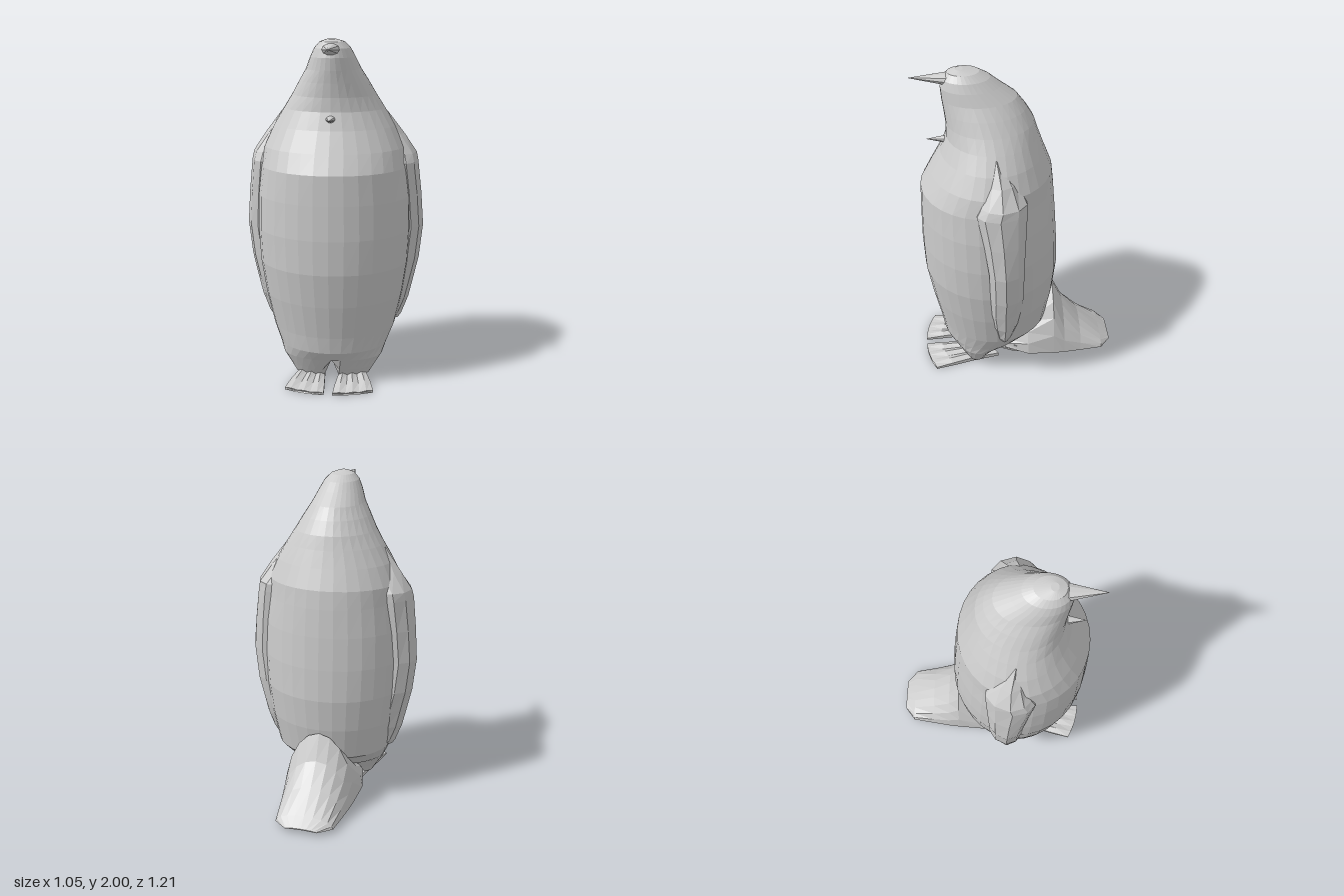
import * as THREE from 'three';

const grey = new THREE.MeshStandardMaterial({ color: 0xcccccc, flatShading: true, side: THREE.DoubleSide });
const V = (x, y, z) => new THREE.Vector3(x, y, z);

// Skin a list of equal-length closed rings, which run counter-clockwise about the direction of travel
function loft(name, rings, caps = true) {
  const n = rings[0].length, pos = [], idx = [];
  rings.forEach(r => r.forEach(p => pos.push(p.x, p.y, p.z)));
  for (let r = 0; r < rings.length - 1; r++) {
    for (let i = 0; i < n; i++) {
      const j = (i + 1) % n, a = r * n + i, b = r * n + j;
      idx.push(a, b, b + n, a, b + n, a + n);
    }
  }
  if (caps) [0, rings.length - 1].forEach((r, end) => {
    const c = V(0, 0, 0);
    rings[r].forEach(p => c.addScaledVector(p, 1 / n));
    const k = pos.length / 3;
    pos.push(c.x, c.y, c.z);
    for (let i = 0; i < n; i++) {
      const a = r * n + i, b = r * n + (i + 1) % n;
      if (end) idx.push(a, b, k); else idx.push(b, a, k);
    }
  });
  const g = new THREE.BufferGeometry();
  g.setAttribute('position', new THREE.Float32BufferAttribute(pos, 3));
  g.setIndex(idx);
  const flat = g.toNonIndexed();
  flat.computeVertexNormals();
  const mesh = new THREE.Mesh(flat, grey);
  mesh.name = name;
  return mesh;
}

// Mirror a ring to side s, keeping its winding
const sided = (ring, s) => s > 0 ? ring : ring.map(p => V(-p.x, p.y, p.z)).reverse();

// Body and head: y, front z, back z, half width
function body() {
  const rows = [
    [0.02, 0.28, 0.28, 0.21], [0.02, 0.37, 0.19, 0.22], [0.07, 0.40, 0.15, 0.25],
    [0.14, 0.44, 0.08, 0.295], [0.20, 0.48, -0.06, 0.32], [0.30, 0.497, -0.18, 0.365],
    [0.50, 0.54, -0.22, 0.41], [0.70, 0.575, -0.242, 0.44], [0.90, 0.583, -0.237, 0.45],
    [1.10, 0.58, -0.225, 0.445], [1.27, 0.575, -0.212, 0.425], [1.38, 0.515, -0.20, 0.41],
    [1.50, 0.45, -0.155, 0.355], [1.60, 0.412, -0.12, 0.295], [1.68, 0.41, -0.095, 0.245],
    [1.76, 0.418, -0.05, 0.20], [1.83, 0.427, 0, 0.158], [1.90, 0.432, 0.09, 0.128],
    [1.95, 0.42, 0.15, 0.103], [1.985, 0.39, 0.21, 0.07], [2, 0.345, 0.3, 0.025], [2, 0.33, 0.33, 0],
  ];
  const n = 32;
  return loft('body', rows.map(([y, zf, zb, w]) => Array.from({ length: n }, (_, i) => {
    const t = i / n * Math.PI * 2, x = w * Math.sin(t);
    // raise the middle of the hem into a gap between the legs
    const lift = y < 0.1 ? (0.13 - y) * Math.max(0, 1 - Math.abs(x) / 0.045) : 0;
    return V(x, y + lift, (zf + zb) / 2 + (zf - zb) / 2 * Math.cos(t));
  })), false);
}

// Folded flipper: y, front z, back z, outer x
function flipper(s) {
  const rows = [
    [0.31, 0.15, 0.07, 0.385], [0.34, 0.16, 0.06, 0.405], [0.45, 0.185, 0.025, 0.447],
    [0.57, 0.2, 0.01, 0.475], [0.7, 0.2, 0, 0.505], [0.9, 0.205, 0, 0.527],
    [1.1, 0.23, -0.01, 0.513], [1.29, 0.265, -0.02, 0.492], [1.34, 0.24, -0.02, 0.482],
    [1.45, 0.20, 0.03, 0.408], [1.58, 0.17, 0.11, 0.31],
  ];
  return loft(s > 0 ? 'leftFlipper' : 'rightFlipper', rows.map(([y, f, b, x]) => {
    const d = f - b;
    return sided([
      V(x - 0.15, y, f), V(x - 0.07, y, f), V(x - 0.025, y, f - d * 0.15), V(x, y, f - d * 0.45),
      V(x - 0.03, y, b + d * 0.2), V(x - 0.09, y, b), V(x - 0.15, y, b),
    ], s);
  }));
}

// Webbed foot with raised toes: z, inner x, outer x, height
function foot(s) {
  const rows = [[0.2, 0.05, 0.17, 0.03], [0.36, 0.04, 0.2, 0.036], [0.5, 0.03, 0.235, 0.028], [0.605, 0.025, 0.257, 0.012]];
  const n = 7;
  return loft(s > 0 ? 'leftFoot' : 'rightFoot', rows.map(([z, a, b, h]) => {
    const ring = [];
    for (let k = 0; k < 2 * n; k++) {
      const top = k >= n, u = (top ? 2 * n - 1 - k : k) / (n - 1);
      const toe = Math.round(u * (n - 1)) % 2 ? 1 : 0.55;
      ring.push(V(a + (b - a) * u, top ? 0.006 + h * toe : 0, z - 0.06 * u * u));
    }
    return sided(ring, s);
  }));
}

// Tapering spike pointing forward
function spike(name, z0, z1, yTop, yBottom, w, tipY) {
  return loft(name, [0, 0.35, 0.7, 1].map(u => Array.from({ length: 10 }, (_, i) => {
    const t = i / 10 * Math.PI * 2, k = 1 - u * 0.985, mid = (yTop + yBottom) / 2;
    return V(w * k * Math.cos(t), mid + (tipY - mid) * u + (yTop - yBottom) / 2 * k * Math.sin(t), z0 + (z1 - z0) * u);
  })));
}

// Arched tail with a hollow underside: z, top y, half width, edge y
function tail() {
  const rows = [
    [0.1, 0.17, 0.2, 0.1], [-0.05, 0.3, 0.235, 0.06], [-0.22, 0.48, 0.222, 0.04], [-0.29, 0.325, 0.215, 0.035],
    [-0.4, 0.2, 0.2, 0.03], [-0.54, 0.085, 0.18, 0.025], [-0.605, 0.035, 0.1, 0.025],
  ];
  const n = 10;
  return loft('tail', rows.map(([z, top, w, y]) => Array.from({ length: 2 * n }, (_, i) => {
    const t = i / n * Math.PI, h = top - y;
    const up = i <= n ? Math.min(h * 0.35, 0.05) * Math.sin(t) : h * -Math.sin(t);
    return V(w * Math.cos(t), y + up, z);
  })));
}

// Layered feather skirt under the tail
function underTailFeather(k) {
  const n = 10, z0 = 0.14 - k * 0.05, z1 = -0.06 - k * 0.09, w = 0.17 + k * 0.02;
  const rows = [[z0, 0.075 + k * 0.015, w], [(z0 + z1) / 2, 0.04 + k * 0.01, w + 0.01], [z1, 0.022 + k * 0.003, w]];
  return loft('underTailFeather' + (k + 1), rows.map(([z, y, hw]) => Array.from({ length: 2 * n }, (_, i) => {
    const low = i < n, u = (low ? i : 2 * n - 1 - i) / (n - 1) * 2 - 1;
    return V(-hw * u, y + 0.03 * (1 - u * u) + (low ? 0 : 0.012), z);
  })));
}

export function createModel() {
  const group = new THREE.Group();
  group.name = 'penguin';
  group.add(body(), tail());
  for (const s of [1, -1]) group.add(flipper(s), foot(s));
  for (let k = 0; k < 3; k++) group.add(underTailFeather(k));
  group.add(spike('beak', 0.38, 0.605, 1.98, 1.905, 0.056, 1.956));
  group.add(spike('chestSpike', 0.41, 0.525, 1.583, 1.54, 0.03, 1.566));
  return group;
}
